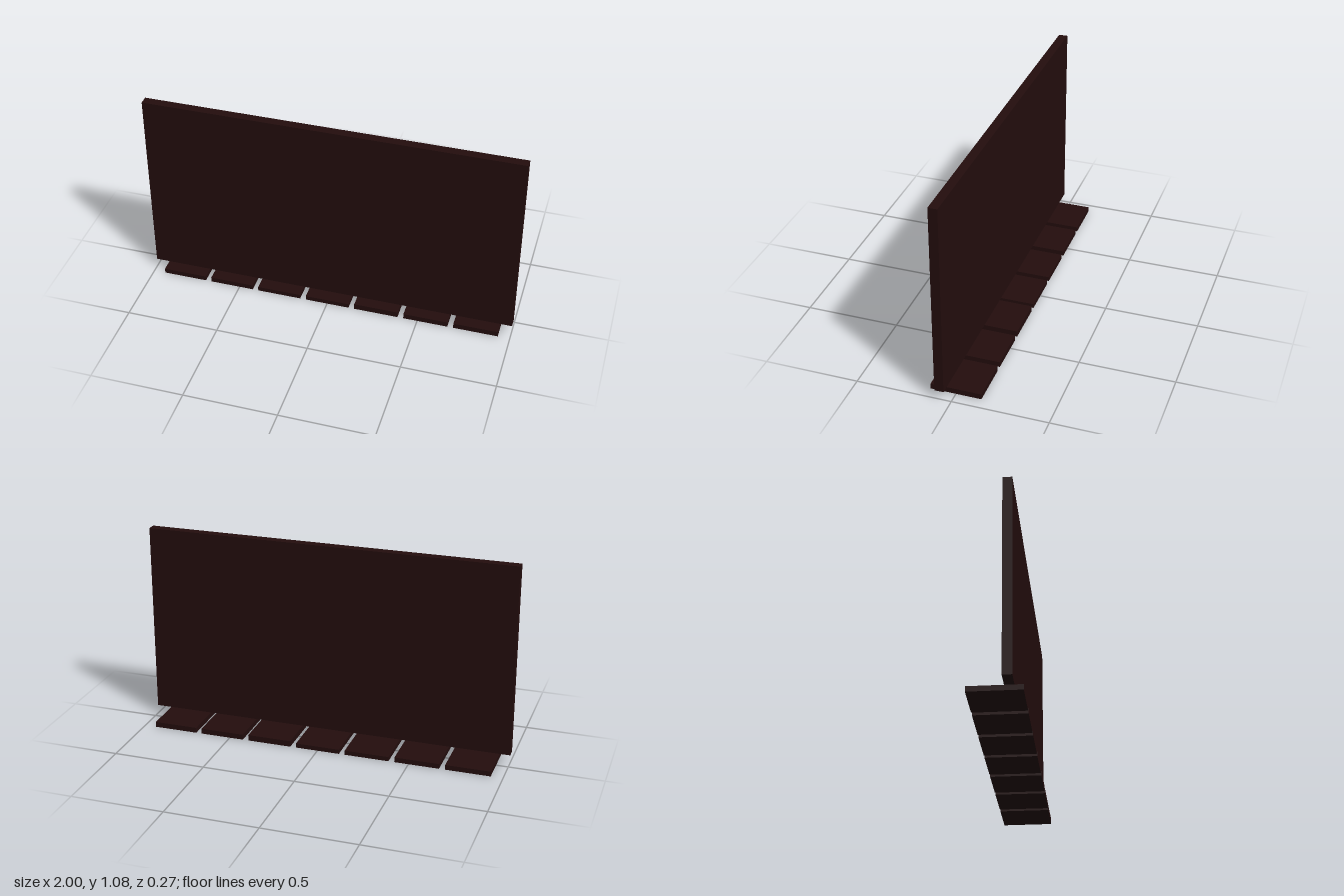
import * as THREE from 'three';

export function createModel() {
  const model = new THREE.Group();
  model.name = 'panelWithTiles';

  const darkBrown = new THREE.MeshStandardMaterial({ color: 0x230d0d });
  darkBrown.name = 'darkBrown';

  // Box resting with its underside at the given height
  function addBox(name, width, height, depth, x, bottom, z) {
    const mesh = new THREE.Mesh(new THREE.BoxGeometry(width, height, depth), darkBrown);
    mesh.name = name;
    mesh.position.set(x, bottom + height / 2, z);
    model.add(mesh);
  }

  // Upright panel, held just above the tiles
  addBox('panel', 2, 1.036, 0.048, 0, 0.048, 0.063);

  // Row of seven floor tiles with slightly uneven thickness
  const thicknesses = [0.027, 0.027, 0.024, 0.024, 0.032, 0.029, 0.029];
  thicknesses.forEach((thickness, i) => {
    addBox(`floorTile${i + 1}`, 0.24, thickness, 0.266, (i - 3) * 0.272, 0, 0);
  });

  return model;
}
